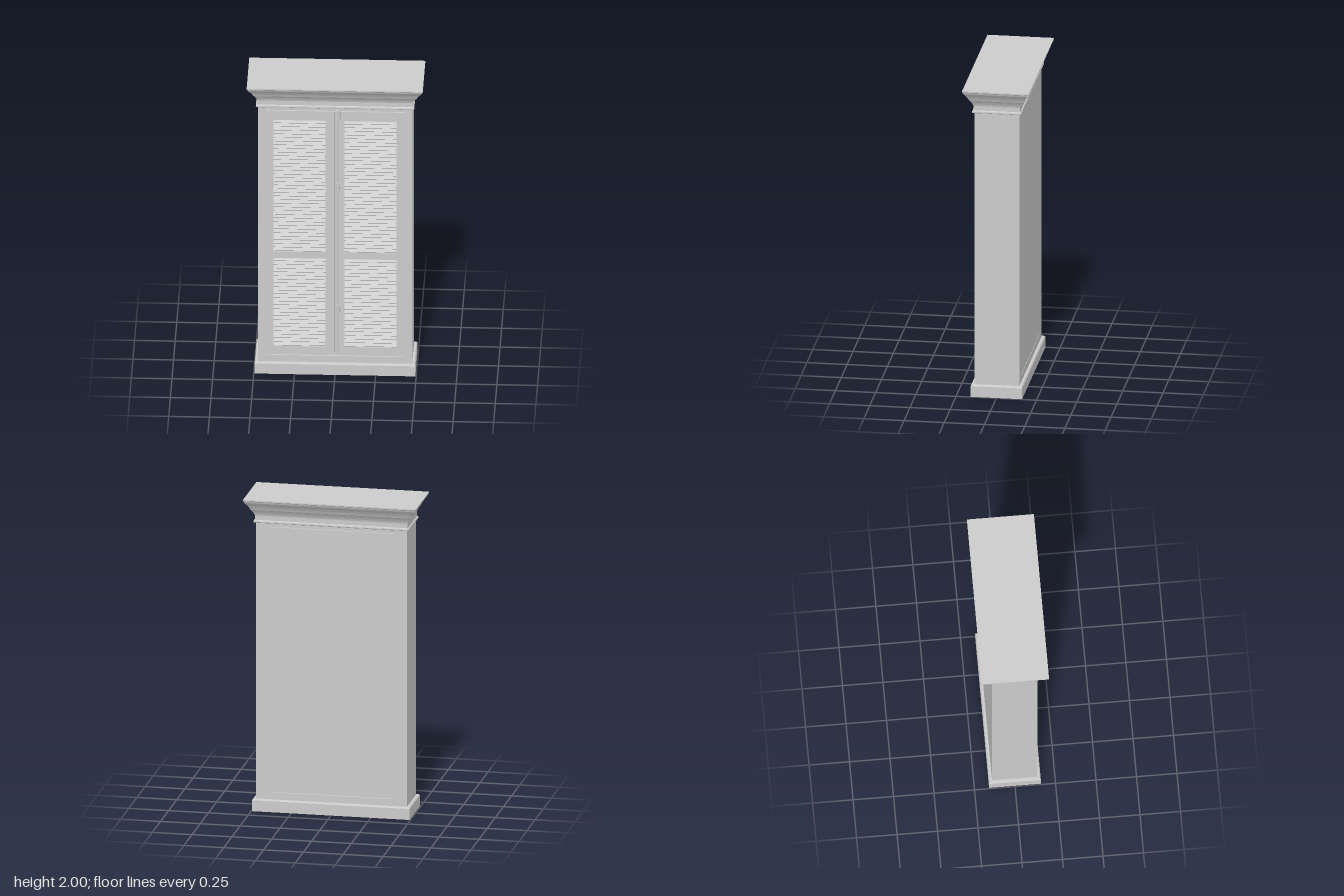
import * as THREE from 'three';

const material = new THREE.MeshStandardMaterial({ color: 0xcccccc });
const HALF_W = 0.475, HALF_D = 0.14, FRONT_T = 0.03, BACK_T = 0.01;

function add(parent, name, geometry, x = 0, y = 0, z = 0) {
  const mesh = new THREE.Mesh(geometry, material);
  mesh.name = name;
  mesh.position.set(x, y, z);
  parent.add(mesh);
  return mesh;
}

// Closed moulding mitred round the cabinet; profile points are [offset, y], bottom to top
function mouldingGeometry(profile) {
  const pos = [];
  const ring = ([o, y]) => [[1, 1], [1, -1], [-1, -1], [-1, 1]]
    .map(([sx, sz]) => [sx * (HALF_W + o), y, sz * (HALF_D + o)]);
  const quad = (a, b, c, d) => pos.push(...a, ...b, ...c, ...a, ...c, ...d);
  const rings = profile.map(ring);
  for (let i = 0; i < rings.length - 1; i++) {
    for (let j = 0; j < 4; j++) {
      const k = (j + 1) % 4;
      quad(rings[i][j], rings[i][k], rings[i + 1][k], rings[i + 1][j]);
    }
  }
  const [t, b] = [rings[rings.length - 1], rings[0]];
  quad(t[0], t[1], t[2], t[3]);
  quad(b[3], b[2], b[1], b[0]);
  const geometry = new THREE.BufferGeometry();
  geometry.setAttribute('position', new THREE.Float32BufferAttribute(pos, 3));
  geometry.computeVertexNormals();
  return geometry;
}

// Flat panel with rectangular openings given as [x0, y0, x1, y1]
function panelGeometry(x0, y0, x1, y1, holes, depth) {
  const trace = (path, [a, b, c, d]) => {
    path.moveTo(a, b);
    path.lineTo(c, b);
    path.lineTo(c, d);
    path.lineTo(a, d);
    path.closePath();
    return path;
  };
  const shape = trace(new THREE.Shape(), [x0, y0, x1, y1]);
  shape.holes = holes.map((h) => trace(new THREE.Path(), h));
  return new THREE.ExtrudeGeometry(shape, { depth, bevelEnabled: false });
}

export function createModel() {
  const group = new THREE.Group();
  group.name = 'louvredCabinet';

  // Plinth and crown
  add(group, 'plinth', mouldingGeometry([[0.02, 0], [0.02, 0.07], [0.014, 0.078]]));
  add(group, 'crown', mouldingGeometry([
    [0.007, 1.842], [0.012, 1.845], [0.013, 1.851], [0.011, 1.857], [0.005, 1.86],
    [0.005, 1.888], [0.009, 1.9], [0.016, 1.913], [0.024, 1.925], [0.027, 1.928],
    [0.034, 1.943], [0.044, 1.959], [0.055, 1.973], [0.06, 1.98],
    [0.064, 1.99], [0.067, 1.993], [0.067, 2],
  ]));

  // Carcass
  const y0 = 0.07, y1 = 1.85;
  const coreDepth = 2 * HALF_D - FRONT_T - BACK_T;
  add(group, 'carcass', new THREE.BoxGeometry(2 * HALF_W, y1 - y0, coreDepth),
    0, (y0 + y1) / 2, (BACK_T - FRONT_T) / 2);

  // Front with door gaps and four louvre openings; back with two slots
  const openings = [];
  for (const [a, b] of [[-0.38, -0.06], [0.057, 0.378]]) {
    openings.push([a, 0.185, b, 0.795], [a, 0.84, b, 1.752]);
  }
  const slots = (w) => [[-w, 0.122, w, 0.127], [-w, 1.817, w, 1.822]];
  add(group, 'doorFront', panelGeometry(-HALF_W, y0, HALF_W, y1,
    [...openings, ...slots(0.43), [-0.003, 0.13, 0.001, 1.814]], FRONT_T), 0, 0, HALF_D - FRONT_T);
  add(group, 'backPanel', panelGeometry(-HALF_W, y0, HALF_W, y1, slots(0.39), BACK_T), 0, 0, -HALF_D);

  // Louvre slats, front edges tilted downwards
  const slats = new THREE.Group();
  slats.name = 'louvres';
  group.add(slats);
  for (const [a, b, c, d] of openings) {
    const count = Math.round((d - b) / 0.0254);
    const pitch = (d - b) / count;
    const geometry = new THREE.BoxGeometry(c - a, 0.006, 0.028);
    for (let i = 0; i < count; i++) {
      const slat = add(slats, 'slat', geometry, (a + c) / 2, b + (i + 0.5) * pitch, HALF_D - 0.014);
      slat.rotation.x = 0.72;
    }
  }

  // Long locking bolt with guides, knob and foot
  const bolt = new THREE.Group();
  bolt.name = 'lockingBolt';
  bolt.position.set(0.019, 0, HALF_D);
  group.add(bolt);
  const box = (name, y, w, h, d) => add(bolt, name, new THREE.BoxGeometry(w, h, d), 0, y, d / 2);
  const rod = (name, y, r, h, z = 0.007) =>
    add(bolt, name, new THREE.CylinderGeometry(r, r, h, 16), 0, y, z);
  rod('rod', 0.985, 0.0065, 1.68);
  box('topPlate', 1.797, 0.026, 0.066, 0.014);
  rod('topBarrel', 1.797, 0.009, 0.056, 0.01);
  box('topKeeper', 1.768, 0.02, 0.018, 0.019);
  for (const y of [1.302, 0.455]) {
    box('guidePlate', y, 0.024, 0.052, 0.012);
    rod('guideBarrel', y, 0.011, 0.036, 0.009);
    for (const s of [-1, 1]) rod('guideCollar', y + s * 0.021, 0.012, 0.007, 0.009);
  }
  const pin = rod('handlePin', 1.302, 0.004, 0.034, 0.011);
  pin.rotation.z = Math.PI / 2;
  add(bolt, 'handleKnob', new THREE.SphereGeometry(0.007, 16, 10), 0.016, 1.302, 0.011);
  add(bolt, 'boltFoot', new THREE.SphereGeometry(0.009, 16, 10), 0, 0.16, 0.006);
  rod('boltTip', 0.147, 0.006, 0.014);

  return group;
}
